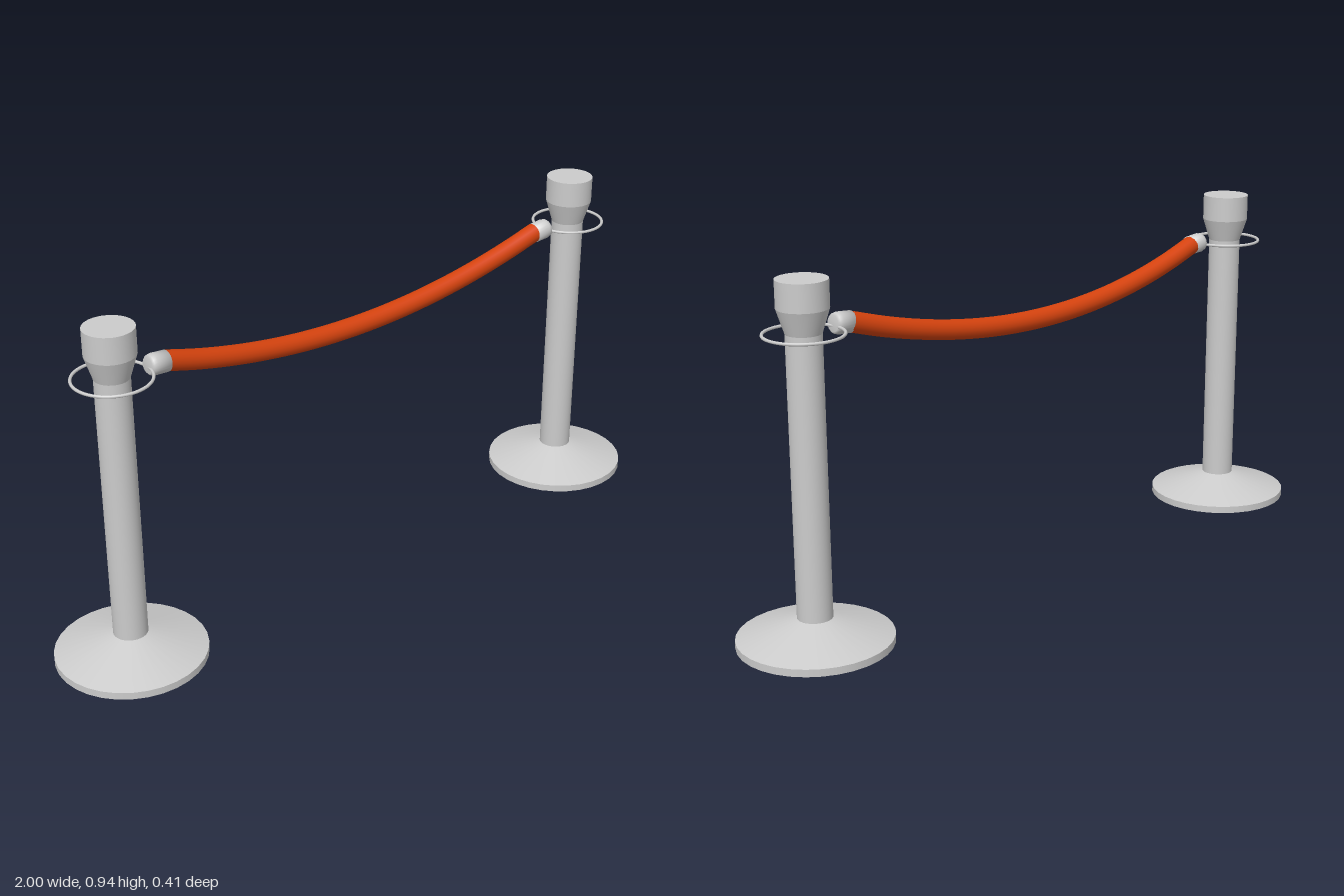
import * as THREE from 'three';

const POST_X = 0.797;

export function createModel() {
  const model = new THREE.Group();
  model.name = 'ropeBarrier';
  const grey = new THREE.MeshStandardMaterial({ color: 0xcccccc });
  const red = new THREE.MeshStandardMaterial({ color: 0xd6430e });

  const add = (parent, name, geometry, material, x = 0, y = 0, z = 0) => {
    const mesh = new THREE.Mesh(geometry, material);
    mesh.name = name;
    mesh.position.set(x, y, z);
    parent.add(mesh);
    return mesh;
  };
  // Cylinder or cone spanning y0 to y1
  const column = (parent, name, rTop, rBottom, y0, y1, open = false) =>
    add(parent, name, new THREE.CylinderGeometry(rTop, rBottom, y1 - y0, 32, 1, open), grey, 0, (y0 + y1) / 2);

  for (const side of [-1, 1]) {
    // Post with weighted base, flared head and hook ring
    const post = new THREE.Group();
    post.name = side > 0 ? 'leftPost' : 'rightPost';
    post.position.x = side * POST_X;
    model.add(post);
    column(post, 'baseRim', 0.203, 0.203, 0, 0.02);
    column(post, 'baseCone', 0.046, 0.203, 0.02, 0.07, true);
    column(post, 'pole', 0.046, 0.046, 0.07, 0.81, true);
    column(post, 'headFlare', 0.066, 0.046, 0.81, 0.873, true);
    column(post, 'headCap', 0.066, 0.066, 0.873, 0.945);
    const ring = add(post, 'hookRing', new THREE.TorusGeometry(0.101, 0.0042, 8, 48), grey, 0, 0.808);
    ring.rotation.x = Math.PI / 2;

    // Metal end fitting of the rope, with a rounded outer edge
    const profile = [[0, -0.028], [0.028, -0.028], [0.0285, 0.012], [0.026, 0.022], [0.021, 0.027], [0, 0.027]]
      .map(([r, y]) => new THREE.Vector2(r, y));
    const fitting = add(model, side > 0 ? 'leftRopeEnd' : 'rightRopeEnd',
      new THREE.LatheGeometry(profile, 24), grey, side * 0.673, 0.812, 0.01);
    fitting.rotation.z = -side * (Math.PI / 2 - 0.08);
  }

  // Rope sagging between the posts and bowing slightly backwards
  const points = [];
  for (let i = 0; i <= 12; i++) {
    const t = i / 6 - 1;
    points.push(new THREE.Vector3(t * 0.65, 0.707 + 0.104 * t * t, -0.01 + 0.018 * t * t));
  }
  add(model, 'rope', new THREE.TubeGeometry(new THREE.CatmullRomCurve3(points), 64, 0.027, 20), red);

  return model;
}
